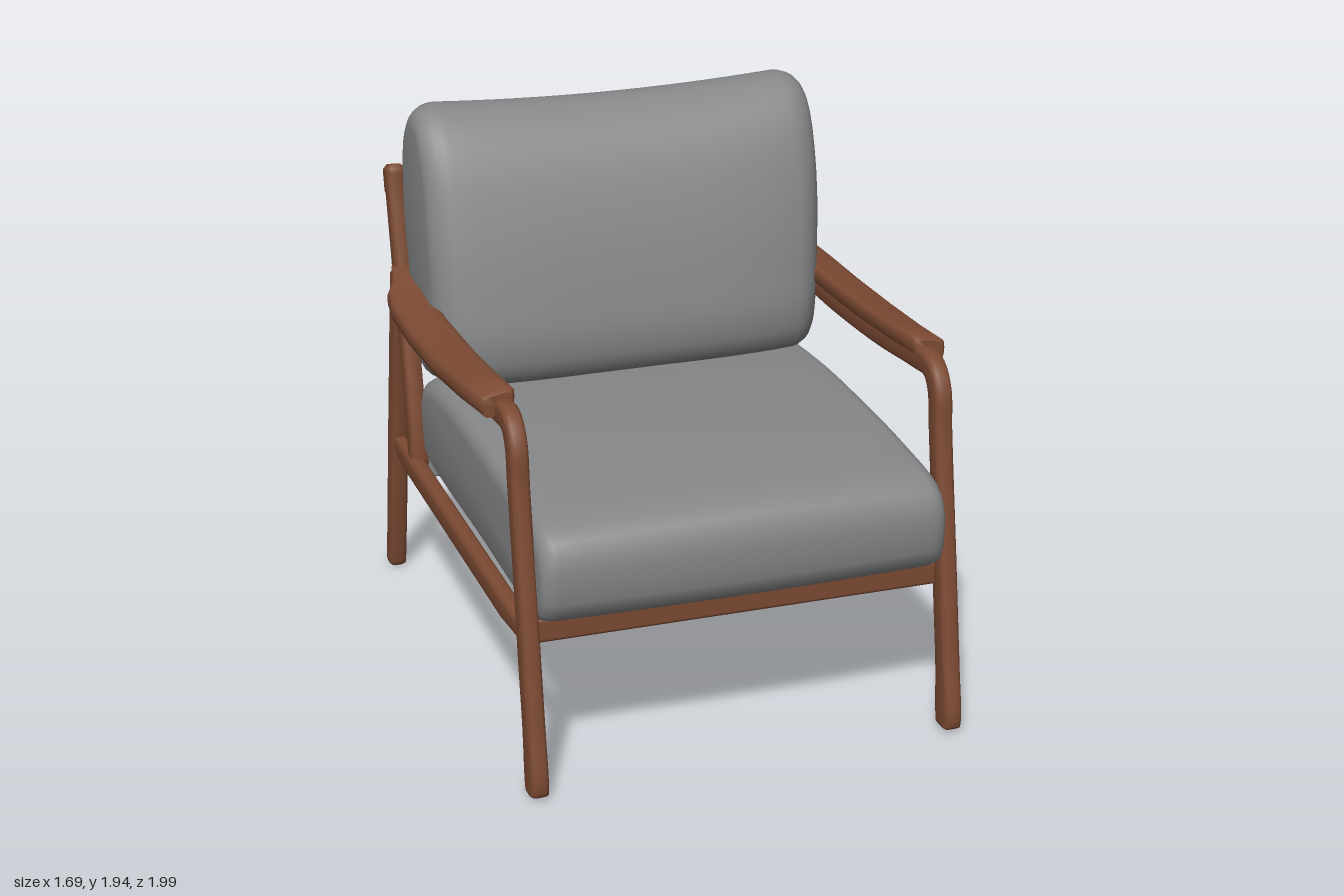
import * as THREE from 'three';
import { toCreasedNormals } from 'three/addons/utils/BufferGeometryUtils.js';
import { RoundedBoxGeometry } from 'three/addons/geometries/RoundedBoxGeometry.js';

const V = (x, y, z) => new THREE.Vector3(x, y, z);
const pow = (v, p) => Math.sign(v) * Math.pow(Math.abs(v), p);

// Closed skin over a list of rings, with capped ends, always facing outward
function loft(rings, crease = 0.9) {
  const n = rings[0].length, pts = rings.flat(), idx = [];
  for (let i = 0; i < rings.length - 1; i++)
    for (let j = 0; j < n; j++) {
      const a = i * n + j, b = i * n + (j + 1) % n;
      idx.push(a, b, a + n, b, b + n, a + n);
    }
  for (const [ring, start, first] of [[rings[0], 0, true], [rings.at(-1), (rings.length - 1) * n, false]]) {
    const c = pts.length;
    pts.push(ring.reduce((s, p) => s.add(p), V(0, 0, 0)).divideScalar(n));
    for (let j = 0; j < n; j++) {
      const a = start + j, b = start + (j + 1) % n;
      idx.push(...(first ? [c, b, a] : [c, a, b]));
    }
  }
  let volume = 0;
  for (let i = 0; i < idx.length; i += 3)
    volume += pts[idx[i]].dot(pts[idx[i + 1]].clone().cross(pts[idx[i + 2]]));
  if (volume < 0) idx.reverse();
  const g = new THREE.BufferGeometry().setFromPoints(pts);
  g.setIndex(idx);
  return toCreasedNormals(g, crease);
}

// Rounded bar in a plane of constant x; rows are [z, y, half thickness]
function bar(x, halfWidth, rows, steps = 24) {
  const curve = new THREE.CatmullRomCurve3(rows.map(r => V(...r)));
  const rings = [];
  for (let i = 0; i <= steps; i++) {
    const p = curve.getPoint(i / steps), t = curve.getTangent(i / steps);
    const len = Math.hypot(t.x, t.y), nz = -t.y / len, ny = t.x / len;
    const end = i === 0 || i === steps ? 0.7 : 1;
    rings.push(Array.from({ length: 20 }, (_, j) => {
      const a = j / 20 * Math.PI * 2;
      const u = pow(Math.cos(a), 0.5) * halfWidth * end, v = pow(Math.sin(a), 0.5) * p.z * end;
      return V(x + u, p.y + ny * v, p.x + nz * v);
    }));
  }
  return loft(rings);
}

// Cushion: side profile [z, y] swept across x, with soft ends shrinking to a centre
function cushion(profile, centre, halfX, r, inset, shape) {
  const outline = new THREE.CatmullRomCurve3(profile.map(([z, y]) => V(0, y, z)), true).getSpacedPoints(64);
  outline.pop();
  const stations = [];
  for (let i = 0; i <= 6; i++) {
    const a = (1 - i / 6) * Math.PI / 2;
    stations.push([-(halfX - r + r * Math.sin(a)), 1 - Math.cos(a)]);
  }
  for (let i = 1; i < 16; i++) stations.push([(halfX - r) * (i / 8 - 1), 0]);
  for (let i = 6; i >= 0; i--) stations.push([-stations[i][0], stations[i][1]]);
  return loft(stations.map(([x, k]) => outline.map(p => shape(V(
    x,
    centre[1] + (p.y - centre[1]) * (1 - k * inset[1]),
    centre[0] + (p.z - centre[0]) * (1 - k * inset[0])), Math.abs(x) / halfX))), 1.2);
}

export function createModel() {
  const wood = new THREE.MeshStandardMaterial({ color: 0x7c4a33 });
  wood.name = 'brown wood';
  const fabric = new THREE.MeshStandardMaterial({ color: 0x868788 });
  fabric.name = 'grey fabric';
  const chair = new THREE.Group();
  chair.name = 'armchair';
  const add = (name, geometry, material, parent = chair, x = 0, y = 0, z = 0) => {
    const m = new THREE.Mesh(geometry, material);
    m.name = name;
    m.position.set(x, y, z);
    parent.add(m);
    return m;
  };

  // Side frames
  for (const s of [1, -1]) {
    const side = new THREE.Group();
    side.name = s > 0 ? 'leftFrame' : 'rightFrame';
    chair.add(side);
    const x = 0.74 * s;
    add('frontLegAndArm', bar(x, 0.033, [
      [0.945, 0, 0.045], [0.943, 0.05, 0.056], [0.922, 0.22, 0.047], [0.88, 0.48, 0.046], [0.86, 0.62, 0.043],
      [0.79, 1.05, 0.04], [0.769, 1.19, 0.043], [0.715, 1.248, 0.042], [0.6, 1.245, 0.042],
      [0.3, 1.212, 0.04], [0, 1.194, 0.04], [-0.3, 1.188, 0.038], [-0.6, 1.215, 0.036], [-0.76, 1.25, 0.035],
    ], 60), wood, side);
    add('rearLeg', bar(x, 0.033, [
      [-0.957, 0, 0.035], [-0.95, 0.05, 0.041], [-0.918, 0.22, 0.044], [-0.868, 0.52, 0.046],
      [-0.8, 0.9, 0.046], [-0.747, 1.18, 0.05], [-0.735, 1.27, 0.04],
    ]), wood, side);
    add('sideRail', bar(x, 0.03, [[0.85, 0.547, 0.045], [0, 0.547, 0.044], [-0.87, 0.547, 0.045]], 8), wood, side);
    add('backPost', bar(0.727 * s, 0.034, [
      [-0.595, 0.54, 0.035], [-0.615, 0.68, 0.04], [-0.72, 1.15, 0.038], [-0.82, 1.55, 0.036], [-0.842, 1.64, 0.04],
    ]), wood, side);

    // Wide arm pad, sloping down a little to the outside; rows are [z, top, inner x, outer x]
    const pad = [
      [0.635, 1.32, 0.71, 0.81], [0.62, 1.332, 0.7, 0.82], [0.4, 1.308, 0.7, 0.832], [0.1, 1.285, 0.7, 0.845],
      [-0.2, 1.274, 0.7, 0.847], [-0.45, 1.274, 0.7, 0.843], [-0.58, 1.28, 0.7, 0.828],
      [-0.66, 1.292, 0.7, 0.79], [-0.76, 1.3, 0.71, 0.768],
    ];
    add('armPad', loft(pad.map(([z, top, inner, outer]) => Array.from({ length: 20 }, (_, j) => {
      const a = j / 20 * Math.PI * 2, c = pow(Math.cos(a), 0.5);
      return V(s * ((inner + outer) / 2 + c * (outer - inner) / 2),
        top - 0.036 + 0.036 * pow(Math.sin(a), 0.5) - 0.2 * (outer - inner) * (c + 1) / 2, z);
    }))), wood, side);
  }

  // Cross rails of the seat
  add('frontRail', new RoundedBoxGeometry(1.46, 0.09, 0.07, 3, 0.015), wood, chair, 0, 0.548, 0.82);
  add('backSeatRail', new RoundedBoxGeometry(1.44, 0.09, 0.07, 3, 0.012), fabric, chair, 0, 0.548, -0.61);

  // Leaning back: top rail, painted faces and spindles
  const back = new THREE.Group();
  back.name = 'backRest';
  back.position.set(0, 0.58, -0.615);
  back.rotation.x = -0.222;
  chair.add(back);
  add('topRail', new RoundedBoxGeometry(1.51, 0.1, 0.07, 3, 0.015), wood, back, -0.005, 1.025, 0);
  add('topRailBackFace', new THREE.BoxGeometry(1.4, 0.075, 0.006), fabric, back, 0, 1.02, -0.036);
  add('rightPostBackFace', new THREE.BoxGeometry(0.05, 0.33, 0.006), fabric, back, -0.727, 0.82, -0.04);
  const spindle = new THREE.CylinderGeometry(0.012, 0.014, 1.02, 10);
  for (let i = 0; i < 11; i++) add('spindle', spindle, wood, back, -0.6 + i * 0.12, 0.49, 0);

  // Seat cushion, bowed at the front
  add('seatCushion', cushion([
    [0.9, 0.595], [0.945, 0.62], [0.972, 0.75], [0.955, 0.88], [0.9, 0.925], [0.6, 0.96], [0.2, 0.975],
    [-0.2, 0.972], [-0.5, 0.94], [-0.61, 0.89], [-0.63, 0.75], [-0.59, 0.615], [-0.53, 0.595], [0.2, 0.592],
  ], [0.15, 0.68], 0.712, 0.06, [0.05, 0.22], (p, k) => {
    if (p.z > 0.5) p.z -= 0.02 * k * k * (p.z - 0.5) / 0.47;
    if (p.y > 0.8) p.y -= 0.02 * k * k;
    return p;
  }), fabric);

  // Back cushion, with raised top corners and a front that curves away at the sides
  add('backCushion', cushion([
    [-0.27, 0.965], [-0.42, 0.935], [-0.58, 0.91], [-0.64, 0.96], [-0.7, 1.25], [-0.765, 1.5], [-0.782, 1.68],
    [-0.74, 1.82], [-0.64, 1.9], [-0.54, 1.905], [-0.44, 1.85], [-0.36, 1.75], [-0.27, 1.53],
    [-0.21, 1.28], [-0.19, 1.13], [-0.215, 1.01],
  ], [-0.54, 1.42], 0.735, 0.1, [0.33, 0.17], (p, k) => {
    if (p.y > 1.5) p.y += 0.03 * k * k * (p.y - 1.5) / 0.4;
    if (p.z > -0.5) p.z -= 0.06 * k ** 4 * (p.z + 0.5) / 0.3;
    p.x *= 0.975 + 0.025 * Math.min(1, (p.y - 0.9) / 0.6);
    p.x += 0.01 * Math.max(0, Math.min(1, (p.y - 1.2) / 0.4));
    return p;
  }), fabric);

  return chair;
}
